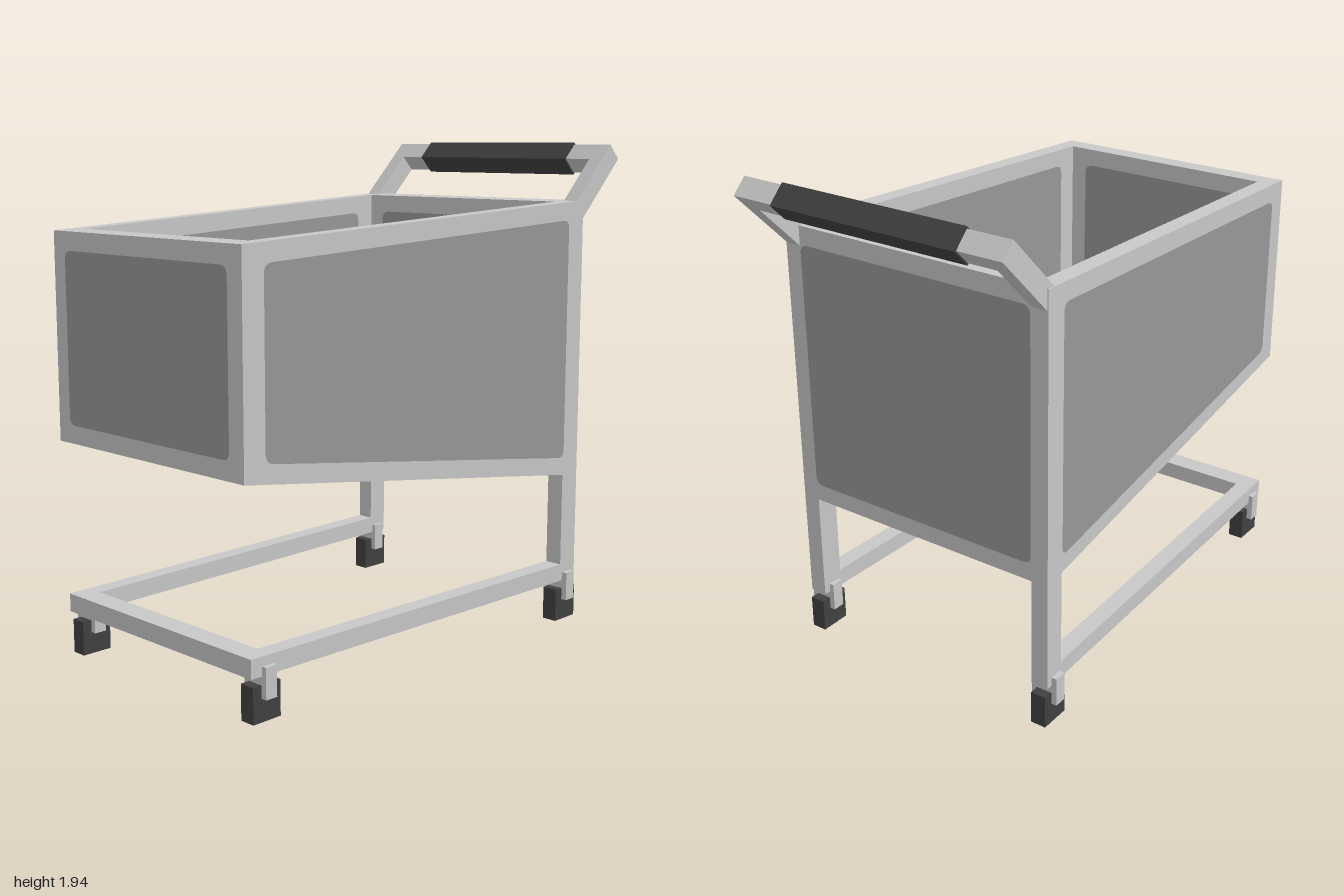
import * as THREE from 'three';

const mat = (name, color) => {
  const m = new THREE.MeshStandardMaterial({ color });
  m.name = name;
  return m;
};

export function createModel() {
  const frameGrey = mat('frame grey', 0xc8c8c8);
  const panelGrey = mat('panel grey', 0x989898);
  const rubber = mat('rubber black', 0x414141);
  const model = new THREE.Group();
  model.name = 'cart';

  // Tapering outline of the basket along x
  const half = x => 0.52 + 0.0314 * (x + 1);
  const top = x => 1.62 + 0.0514 * (x + 1);
  const bot = x => 0.835 - 0.1355 * (x + 1);
  const T = 0.07, X0 = -1, X1 = 0.75, E = 0.09;

  const add = (parent, name, geo, material, x = 0, y = 0, z = 0) => {
    const m = new THREE.Mesh(geo, material);
    m.name = name;
    m.position.set(x, y, z);
    parent.add(m);
    return m;
  };
  const box = (parent, name, material, w, h, d, x, y, z) =>
    add(parent, name, new THREE.BoxGeometry(w, h, d), material, x, y, z);

  // Box whose y and z limits are functions of x
  const taperedBox = (parent, name, x0, x1, y0, y1, z0, z1) => {
    const g = new THREE.BoxGeometry(1, 1, 1), p = g.attributes.position;
    for (let i = 0; i < p.count; i++) {
      const x = p.getX(i) < 0 ? x0 : x1;
      p.setXYZ(i, x, (p.getY(i) < 0 ? y0 : y1)(x), (p.getZ(i) < 0 ? z0 : z1)(x));
    }
    g.computeVertexNormals();
    return add(parent, name, g, frameGrey);
  };
  const inner = x => half(x) - T;
  const sideLimits = s => s > 0 ? [inner, half] : [x => -half(x), x => -inner(x)];

  // Flat rounded plate through four corners, facing the given direction
  const plate = (parent, name, corners, facing) => {
    let pts = corners.map(c => new THREE.Vector3(...c));
    const normal = () => pts[1].clone().sub(pts[0]).cross(pts[3].clone().sub(pts[0])).normalize();
    if (normal().dot(new THREE.Vector3(...facing)) < 0) pts.reverse();
    const n = normal();
    const u = pts[1].clone().sub(pts[0]).normalize();
    const v = n.clone().cross(u);
    const flat = pts.map(p => {
      const q = p.clone().sub(pts[0]);
      return new THREE.Vector2(q.dot(u), q.dot(v));
    });
    const shape = new THREE.Shape(), r = 0.035;
    flat.forEach((c, i) => {
      const toward = o => c.clone().add(o.clone().sub(c).setLength(r));
      const a = toward(flat[(i + 3) % 4]), b = toward(flat[(i + 1) % 4]);
      if (i) shape.lineTo(a.x, a.y); else shape.moveTo(a.x, a.y);
      shape.quadraticCurveTo(c.x, c.y, b.x, b.y);
    });
    shape.closePath();
    const g = new THREE.ShapeGeometry(shape, 6);
    const origin = pts[0].clone().addScaledVector(n, 0.003);
    g.applyMatrix4(new THREE.Matrix4().makeBasis(u, v, n).setPosition(origin));
    add(parent, name, g, panelGrey);
  };

  // Basket shell
  const basket = new THREE.Group();
  basket.name = 'basket';
  model.add(basket);
  const floorTop = x => bot(x) + T;
  const innerNeg = x => -inner(x);
  for (const s of [1, -1]) taperedBox(basket, 'sideWall', X0, X1, bot, top, ...sideLimits(s));
  taperedBox(basket, 'noseWall', X0, X0 + E, bot, top, innerNeg, inner);
  taperedBox(basket, 'handleWall', X1 - E, X1, bot, top, innerNeg, inner);
  taperedBox(basket, 'floor', X0 + E, X1 - E, bot, floorTop, innerNeg, inner);

  // Darker panels: k = 0 on the outside faces, k = 1 on the inside faces
  for (const k of [0, 1]) {
    const label = k ? 'inner' : 'outer', f = k ? -1 : 1;
    const a = X0 + E * (1 + k), b = X1 - E * (1 + k);
    const lo = x => bot(x) + T * (1 + k), hi = x => top(x) - T;
    const w = x => half(x) - T * (1 + k);
    for (const s of [1, -1]) {
      const z = x => s * (half(x) - T * k);
      plate(basket, label + 'SidePanel',
        [[a, lo(a), z(a)], [b, lo(b), z(b)], [b, hi(b), z(b)], [a, hi(a), z(a)]], [0, 0, s * f]);
      const x = s > 0 ? X1 - E * k : X0 + E * k;
      plate(basket, label + 'EndPanel',
        [[x, lo(x), -w(x)], [x, lo(x), w(x)], [x, hi(x), w(x)], [x, hi(x), -w(x)]], [s * f, 0, 0]);
    }
    const y = x => bot(x) + T * k;
    plate(basket, label + 'FloorPanel',
      [[a, y(a), -w(a)], [b, y(b), -w(b)], [b, y(b), w(b)], [a, y(a), w(a)]], [0, -f, 0]);
  }

  // Legs and the open base frame
  const railLo = () => 0.165, railHi = () => 0.235;
  for (const s of [1, -1]) {
    taperedBox(model, 'leg', X1 - E, X1, railLo, bot, ...sideLimits(s));
    taperedBox(model, 'baseRail', -0.98, X1 - E, railLo, railHi, ...sideLimits(s));
  }
  taperedBox(model, 'baseCrossbar', -0.98, -0.89, railLo, railHi, innerNeg, inner);

  // Casters: square wheel between two fork plates
  for (const [x, z] of [[-0.907, 0.487], [0.697, 0.541]]) {
    for (const s of [1, -1]) {
      const caster = new THREE.Group();
      caster.name = 'caster';
      caster.position.set(x, 0, s * z);
      model.add(caster);
      box(caster, 'wheel', rubber, 0.125, 0.132, 0.062, 0, 0.066, 0);
      for (const e of [1, -1]) box(caster, 'forkPlate', frameGrey, 0.05, 0.115, 0.023, 0, 0.1425, e * 0.0435);
      box(caster, 'forkBridge', frameGrey, 0.05, 0.05, 0.064, 0, 0.157, 0);
    }
  }

  // Push handle, tilted up at 45 degrees
  const handle = new THREE.Group();
  handle.name = 'handle';
  handle.position.set(0.93, 1.87, 0);
  handle.rotation.z = Math.PI / 4;
  model.add(handle);
  for (const s of [1, -1]) box(handle, 'handleArm', frameGrey, 0.337, 0.08, 0.062, -0.1285, 0, s * 0.54);
  box(handle, 'handleBar', frameGrey, 0.08, 0.08, 1.02, 0, 0, 0);
  box(handle, 'grip', rubber, 0.092, 0.092, 0.785, 0, 0, 0);

  return model;
}
